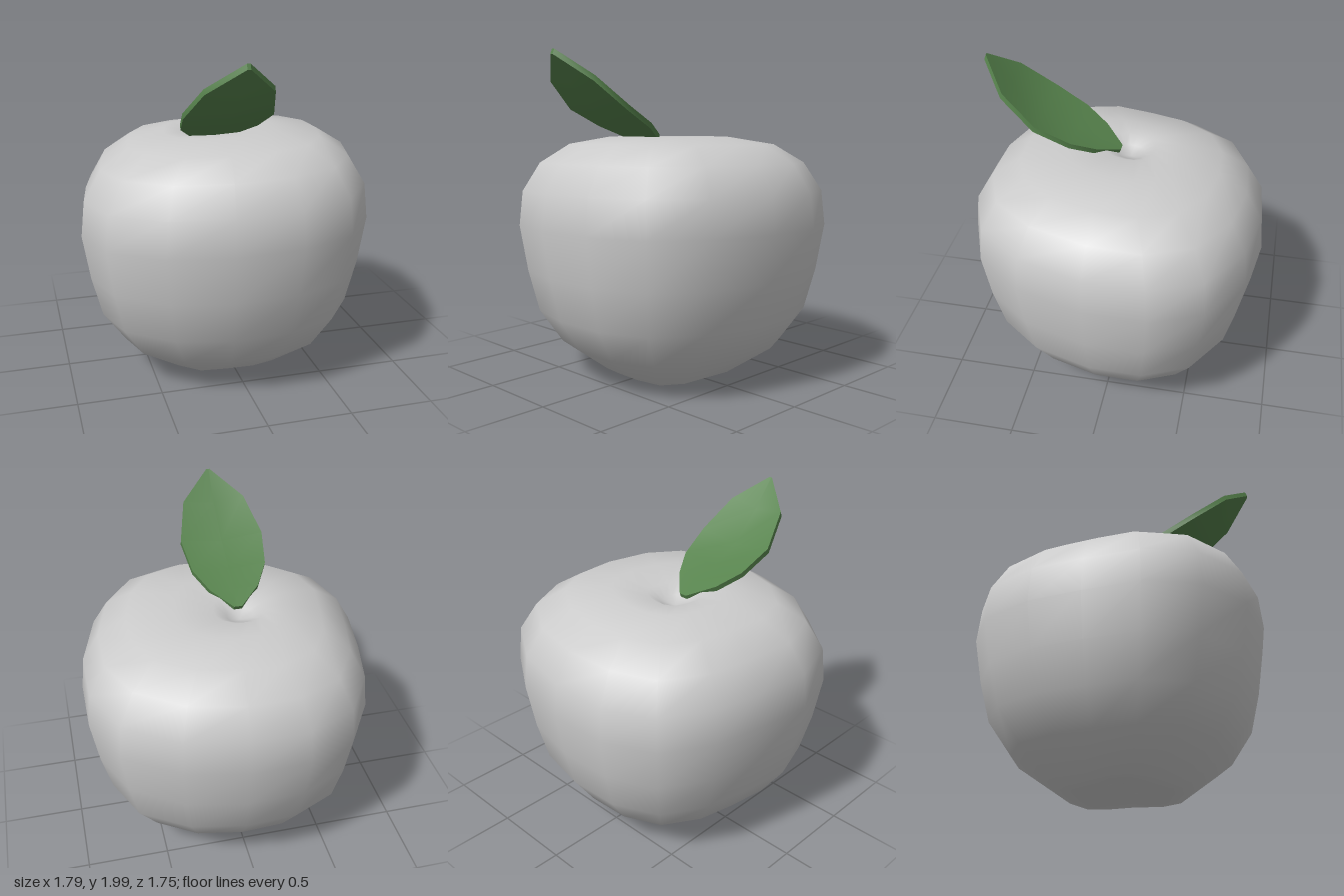
import * as THREE from 'three';
import { mergeVertices, toCreasedNormals } from 'three/addons/utils/BufferGeometryUtils.js';

// Skins equal-length rings of [x, y, z]; collapsed end rings close the shape.
function loft(rings) {
  const n = rings[0].length;
  const index = [];
  for (let i = 0; i < rings.length - 1; i++) {
    for (let j = 0; j < n; j++) {
      const k = (j + 1) % n;
      const a = i * n + j, b = i * n + k, c = b + n, d = a + n;
      index.push(a, b, c, a, c, d);
    }
  }
  const geo = new THREE.BufferGeometry();
  geo.setAttribute('position', new THREE.Float32BufferAttribute(rings.flat(2), 3));
  geo.setIndex(index);
  const merged = mergeVertices(geo);
  merged.computeVertexNormals();
  return merged;
}

// Slightly lopsided, squarish girth of the fruit as [x, z]
const girth = [
  [0.06, -0.88], [-0.3, -0.86], [-0.6, -0.72], [-0.78, -0.43],
  [-0.85, -0.12], [-0.9, 0.21], [-0.8, 0.53], [-0.51, 0.77],
  [-0.15, 0.87], [0.24, 0.87], [0.57, 0.74], [0.78, 0.46],
  [0.89, 0.06], [0.89, -0.3], [0.75, -0.61], [0.43, -0.81],
];

// [scale of girth, height, lobe depth, shift towards the stem hollow]
const profile = [
  [0, 0.09, 0, 0], [0.13, 0.06, 0.01, 0], [0.29, 0.025, 0.02, 0], [0.43, 0.03, 0.01, 0],
  [0.73, 0.22, 0, 0], [0.88, 0.42, 0, 0], [0.95, 0.67, 0, 0], [1, 0.95, 0, 0],
  [0.975, 1.16, 0, 0], [0.86, 1.33, 0, 0], [0.67, 1.44, 0, 0], [0.38, 1.487, 0, 0.3],
  [0.17, 1.475, 0, 0.9], [0.09, 1.43, 0, 1], [0, 1.4, 0, 1],
];

function fruitGeometry() {
  return loft(profile.map(([s, y, lobe, shift]) => girth.map(([x, z]) => {
    const px = x * s - 0.08 * shift;
    const pz = z * s - 0.04 * shift;
    const tilt = 0.03 * (px + pz) * Math.min(1, y);
    return [px, y + tilt + lobe * Math.cos(4 * Math.atan2(z, x)), pz];
  })));
}

// Leaf stations from base to tip: [z, edge height, left x, right x, cup depth]
const stations = [
  [0.02, 1.45, -0.11, -0.06, 0], [0.14, 1.51, -0.24, 0.06, 0.01],
  [0.28, 1.58, -0.32, 0.14, 0.02], [0.48, 1.685, -0.35, 0.17, 0.03],
  [0.68, 1.85, -0.28, 0.11, 0.025], [0.82, 1.995, -0.09, -0.07, 0],
];

function leafGeometry() {
  const thick = 0.03;
  const rings = stations.map(([z, y, l, r, cup]) => {
    const m = (l + r) / 2;
    const low = y - thick, zl = z + 0.012;
    return [
      [r, y, z], [m, y - cup, z], [l, y, z],
      [l, low, zl], [m, low - cup, zl], [r, low, zl],
    ];
  });
  // Collapsed rings seal both ends
  const cap = ([z, y, l, r]) => Array(6).fill([(l + r) / 2, y - thick / 2, z + 0.006]);
  return toCreasedNormals(loft([cap(stations[0]), ...rings, cap(stations.at(-1))]), 0.7);
}

export function createModel() {
  const group = new THREE.Group();
  group.name = 'apple';

  const fruit = new THREE.Mesh(fruitGeometry(), new THREE.MeshStandardMaterial({ color: 0xcccccc }));
  fruit.name = 'fruit';

  const leaf = new THREE.Mesh(leafGeometry(), new THREE.MeshStandardMaterial({ color: 0x56824c }));
  leaf.name = 'leaf';

  group.add(fruit, leaf);
  return group;
}
